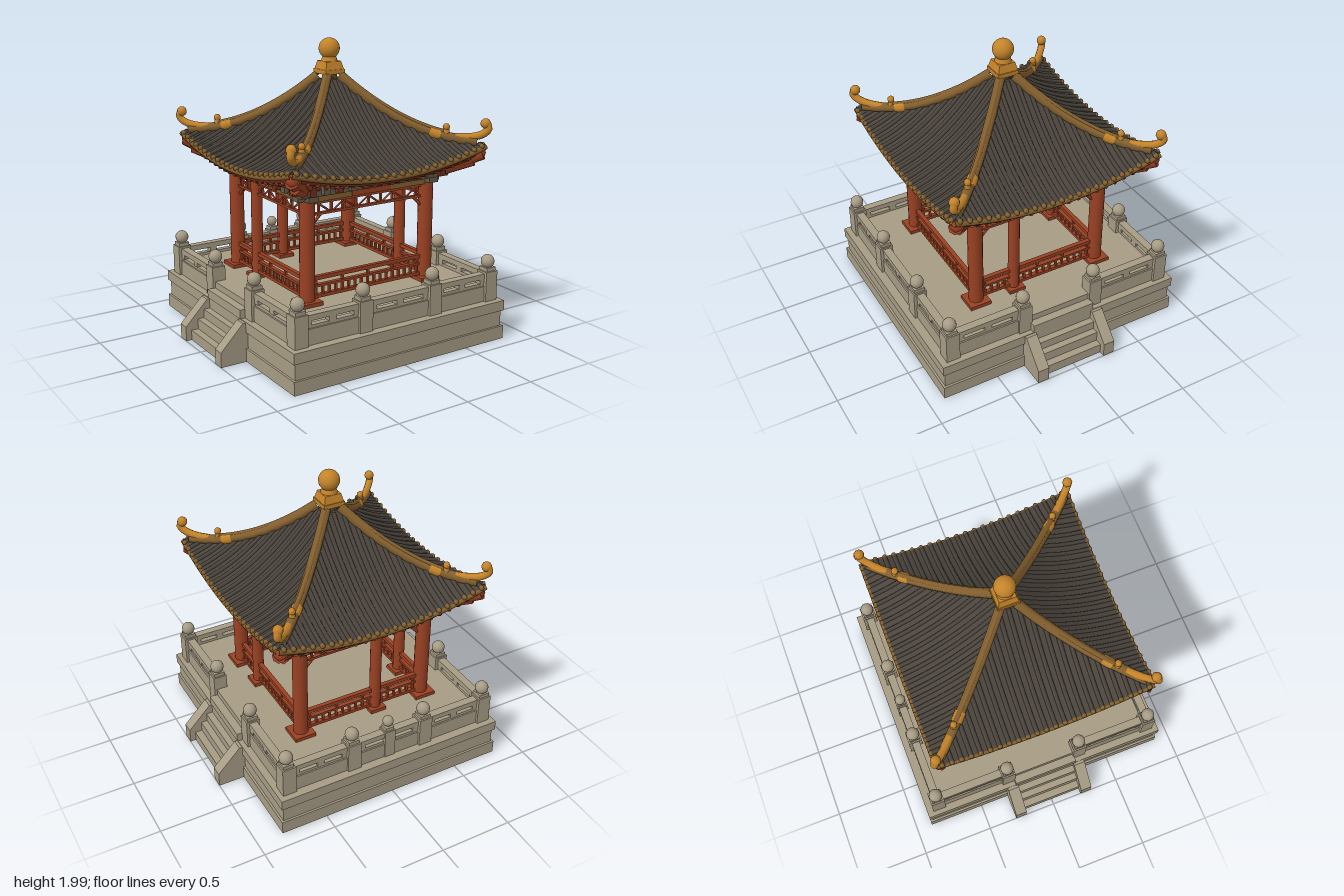
import * as THREE from 'three';

const mat = (name, color, side = THREE.FrontSide) => {
  const m = new THREE.MeshStandardMaterial({ color, side });
  m.name = name;
  return m;
};

export function createModel() {
  const stone = mat('stone', 0xa79c85);
  const tile = mat('roofTile', 0x4b443d);
  const gold = mat('gold', 0xc4842a);
  const ochre = mat('ridgeOchre', 0x84602f);
  const red = mat('redWood', 0x9a4123);
  const darkRed = mat('darkRedWood', 0x6d301d);
  const grey = mat('greyTimber', 0x645b48);

  const model = new THREE.Group();
  model.name = 'pavilion';
  const V = (x, y, z) => new THREE.Vector3(x, y, z);
  const group = (name, parent = model) => {
    const g = new THREE.Group();
    g.name = name;
    parent.add(g);
    return g;
  };
  const add = (p, name, geo, m, x = 0, y = 0, z = 0) => {
    const mesh = new THREE.Mesh(geo, m);
    mesh.name = name;
    mesh.position.set(x, y, z);
    p.add(mesh);
    return mesh;
  };
  // box given by its centre in plan and its bottom and top heights
  const box = (p, name, m, w, y0, y1, d, x = 0, z = 0) =>
    add(p, name, new THREE.BoxGeometry(w, y1 - y0, d), m, x, (y0 + y1) / 2, z);
  // round bar between two points
  const rod = (p, name, m, a, b, r, n = 6) => {
    const mesh = add(p, name, new THREE.CylinderGeometry(r, r, a.distanceTo(b), n), m);
    mesh.position.copy(a).lerp(b, 0.5);
    mesh.quaternion.setFromUnitVectors(V(0, 1, 0), b.clone().sub(a).normalize());
    return mesh;
  };
  const tube = (p, name, m, pts, r, seg = 16, n = 6) =>
    add(p, name, new THREE.TubeGeometry(new THREE.CatmullRomCurve3(pts), seg, r, n), m);
  const ball = (p, name, m, r, x, y, z, n = 14) =>
    add(p, name, new THREE.SphereGeometry(r, n, Math.ceil(n * 0.7)), m, x, y, z);
  // curved sheet from f(u, v); its face looks along du x dv
  const sheet = (p, name, m, f, nu, nv) => {
    const pos = [], idx = [];
    for (let i = 0; i <= nu; i++)
      for (let j = 0; j <= nv; j++) pos.push(...f(i / nu, j / nv).toArray());
    for (let i = 0; i < nu; i++)
      for (let j = 0; j < nv; j++) {
        const a = i * (nv + 1) + j, b = a + nv + 1;
        idx.push(a, b, a + 1, b, b + 1, a + 1);
      }
    const g = new THREE.BufferGeometry();
    g.setAttribute('position', new THREE.Float32BufferAttribute(pos, 3));
    g.setIndex(idx);
    g.computeVertexNormals();
    return add(p, name, g, m);
  };

  // stone platform
  const base = group('platform');
  box(base, 'footing', stone, 1.64, 0, 0.09, 1.78);
  box(base, 'plinthWall', stone, 1.61, 0.09, 0.2, 1.75);
  box(base, 'plinthCap', stone, 1.64, 0.2, 0.27, 1.78);
  box(base, 'floor', stone, 1.54, 0.27, 0.375, 1.66);

  // stairs on both sides
  for (const s of [1, -1]) {
    const st = group(s > 0 ? 'leftStairs' : 'rightStairs');
    st.rotation.y = s > 0 ? 0 : Math.PI;
    [[0.96, 0.07], [0.91, 0.14], [0.865, 0.2]].forEach(([x, y]) =>
      box(st, 'step', stone, x - 0.75, 0, y, 0.44, (x + 0.75) / 2));
    box(st, 'topStep', stone, 0.07, 0.27, 0.33, 0.46, 0.79);
    const cheek = new THREE.Shape([[0.78, 0], [1, 0], [1, 0.1], [0.84, 0.265], [0.78, 0.265]]
      .map(([x, y]) => new THREE.Vector2(x, y)));
    for (const z of [-0.295, 0.215])
      add(st, 'cheekWall', new THREE.ExtrudeGeometry(cheek, { depth: 0.08, bevelEnabled: false }), stone, 0, 0, z);
  }

  // stone balustrade
  const fence = group('stoneBalustrade');
  const post = (x, z, k = 1) => {
    box(fence, 'post', stone, 0.095 * k, 0.27, 0.475, 0.095 * k, x, z);
    box(fence, 'postCap', stone, 0.075 * k, 0.475, 0.5, 0.075 * k, x, z);
    ball(fence, 'postBall', stone, 0.046 * k, x, 0.537, z);
  };
  const rail = (x0, z0, x1, z1) => {
    const dx = Math.abs(x1 - x0), dz = Math.abs(z1 - z0), mx = (x0 + x1) / 2, mz = (z0 + z1) / 2;
    box(fence, 'handrail', stone, dx || 0.055, 0.425, 0.462, dz || 0.055, mx, mz);
    box(fence, 'panel', stone, dx || 0.04, 0.37, 0.395, dz || 0.04, mx, mz);
    for (const t of [0.12, 0.5, 0.88])
      box(fence, 'railBlock', stone, 0.05, 0.39, 0.43, 0.05, x0 + (x1 - x0) * t, z0 + (z1 - z0) * t);
  };
  for (const z of [0.8, -0.8]) {
    const xs = [-0.74, -0.27, 0.27, 0.74];
    xs.forEach((x, i) => {
      post(x, z);
      if (i) rail(xs[i - 1], z, x, z);
    });
  }
  post(0, -0.8, 0.8);
  for (const x of [0.74, -0.74])
    for (const s of [1, -1]) {
      post(x, 0.27 * s);
      rail(x, 0.27 * s, x, 0.8 * s);
    }

  // columns
  const cols = group('columns');
  const column = (x, z, r) => {
    box(cols, 'columnBase', red, r * 3, 0.37, 0.4, r * 3, x, z);
    add(cols, 'column', new THREE.CylinderGeometry(r, r, 0.74, 14), red, x, 0.75, z);
  };
  for (const x of [-0.465, 0.465]) for (const z of [-0.465, 0.465]) column(x, z, 0.05);
  [[-0.1, -0.465], [0.465, 0.18], [-0.465, -0.18]].forEach(([x, z]) => column(x, z, 0.039));

  // roof heights: hip line, and sag of the slope between two hips
  const E = 0.74;
  const hip = d => 1.32 + 0.9 * (0.72 - d) ** 2;
  const roofY = (x, d) => hip(d) - 0.11 * (d / E) ** 2 * (1 - (x / d) ** 2);

  for (let k = 0; k < 4; k++) {
    const side = group('side' + (k + 1));
    side.rotation.y = k * Math.PI / 2;

    // wooden railing and hanging lattice between columns
    for (const [y, h] of [[0.525, 0.026], [0.478, 0.016], [0.405, 0.022]])
      box(side, 'woodRail', red, 0.88, y, y + h, 0.03, 0, 0.465);
    for (let i = -8; i <= 8; i++)
      box(side, 'baluster', red, 0.014, 0.41, i % 4 ? 0.485 : 0.53, 0.018, i * 0.05, 0.465);
    for (const y of [0.952, 1.025])
      box(side, 'latticeRail', red, 0.88, y, y + 0.016, 0.024, 0, 0.465);
    for (let i = -4; i <= 4; i++) {
      box(side, 'latticeBar', red, 0.012, 0.955, 1.03, 0.018, i * 0.095, 0.465);
      if (i < 4) {
        const s = i % 2 ? 0.032 : -0.032, x = (i + 0.5) * 0.095;
        rod(side, 'latticeDiagonal', red, V(x - 0.045, 0.99 - s, 0.465), V(x + 0.045, 0.99 + s, 0.465), 0.007, 4);
      }
    }
    for (const s of [1, -1]) {
      rod(side, 'cornerBrace', red, V(0.42 * s, 0.9, 0.465), V(0.36 * s, 0.96, 0.465), 0.012, 4);
      box(side, 'columnBracket', grey, 0.07, 1.06, 1.12, 0.12, 0.465 * s, 0.49);
    }

    // beams
    box(side, 'tieBeam', ochre, 1.0, 1.045, 1.1, 0.07, 0, 0.465);
    box(side, 'beamPanel', red, 0.3, 1.05, 1.095, 0.008, 0, 0.502);
    box(side, 'eaveBeam', grey, 1.14, 1.1, 1.15, 0.12, 0, 0.51);
    for (let i = -5; i <= 5; i++)
      box(side, 'bracketBlock', i % 2 ? darkRed : grey, 0.045, 1.11, 1.165, 0.08, i * 0.1, 0.56);

    // tiled slope with ribs
    sheet(side, 'roofSlope', tile, (u, v) => {
      const d = 0.05 + (E - 0.05) * u, x = d * (2 * v - 1);
      return V(x, roofY(x, d), d);
    }, 18, 24);
    for (let i = -11; i <= 11; i++) {
      const x = i * 0.064, d0 = Math.max(Math.abs(x) + 0.005, 0.06), pts = [];
      for (let j = 0; j <= 8; j++) {
        const d = d0 + (E + 0.005 - d0) * j / 8;
        pts.push(V(x, roofY(x, d) + 0.004, d));
      }
      tube(side, 'tileRib', tile, pts, 0.015, 12, 6);
      ball(side, 'tileEnd', ochre, 0.018, x, roofY(x, E) + 0.002, E + 0.002, 8);
    }

    // eave trim, soffit and rafters
    const eave = (dy, d) => Array.from({ length: 13 }, (_, i) => {
      const x = d * (i / 6 - 1);
      return V(x, roofY(x, d) + dy, d);
    });
    tube(side, 'eaveTrim', ochre, eave(-0.017, E), 0.017, 24);
    tube(side, 'eaveBoard', darkRed, eave(-0.045, 0.715), 0.018, 24);
    sheet(side, 'soffit', darkRed, (u, v) => {
      const d = E - (E - 0.5) * u, x = d * (2 * v - 1);
      const y = THREE.MathUtils.lerp(roofY(E * (2 * v - 1), E) - 0.02, 1.15, u);
      return V(x, y, d);
    }, 4, 20);
    for (let i = -10; i <= 10; i++) {
      const x = i * 0.069, y = roofY(x, 0.72);
      rod(side, 'rafter', red, V(x * 0.76, 1.135, 0.53), V(x, y - 0.05, 0.725), 0.018, 7);
    }

    // hip ridge, with a gilded end and upturned tip
    const corner = group('hipRidge', side);
    const ridge = (a, b) => Array.from({ length: 9 }, (_, i) => {
      const d = a + (b - a) * i / 8;
      return V(d, hip(d) + 0.018, d);
    });
    tube(corner, 'ridge', ochre, ridge(0.05, 0.7), 0.033, 24, 8);
    tube(corner, 'ridgeCrest', ochre, ridge(0.05, 0.56).map(p => p.setY(p.y + 0.025)), 0.018, 20, 6);
    tube(corner, 'gildedEnd', gold, [V(0.6, 1.36, 0.6), V(0.67, 1.365, 0.67), V(0.72, 1.385, 0.72),
      V(0.748, 1.42, 0.748), V(0.742, 1.455, 0.742)], 0.026, 16, 8);
    ball(corner, 'tipCurl', gold, 0.034, 0.735, 1.458, 0.735, 10);
    tube(corner, 'gildedBand', gold, ridge(0.48, 0.53), 0.038, 4, 8);
    add(corner, 'ridgeFigure', new THREE.CylinderGeometry(0.018, 0.028, 0.07, 8), gold, 0.555, 1.39, 0.555);
    ball(corner, 'figureHead', gold, 0.024, 0.555, 1.425, 0.555, 8);

    // heavy corner rafter
    const beam = rod(corner, 'hipRafter', red, V(0.5, 1.13, 0.5), V(0.725, 1.265, 0.725), 0.05, 8);
    beam.scale.set(0.9, 1, 1);
    rod(corner, 'hipRafterLower', red, V(0.5, 1.11, 0.5), V(0.685, 1.205, 0.685), 0.035, 6);
    ball(corner, 'rafterHead', red, 0.05, 0.705, 1.265, 0.705, 8);
  }
  box(model, 'ceiling', darkRed, 1.0, 1.1, 1.14, 1.0);

  // crowning finial
  const finial = group('finial');
  box(finial, 'finialBase', gold, 0.15, 1.755, 1.785, 0.15);
  const block = new THREE.CylinderGeometry(0.08, 0.1, 0.055, 4).toNonIndexed();
  block.computeVertexNormals();
  add(finial, 'finialBlock', block, gold, 0, 1.81, 0).rotation.y = Math.PI / 4;
  add(finial, 'finialNeck', new THREE.CylinderGeometry(0.045, 0.058, 0.04, 16), gold, 0, 1.85, 0);
  ball(finial, 'finialBall', gold, 0.07, 0, 1.92, 0, 24);

  return model;
}
